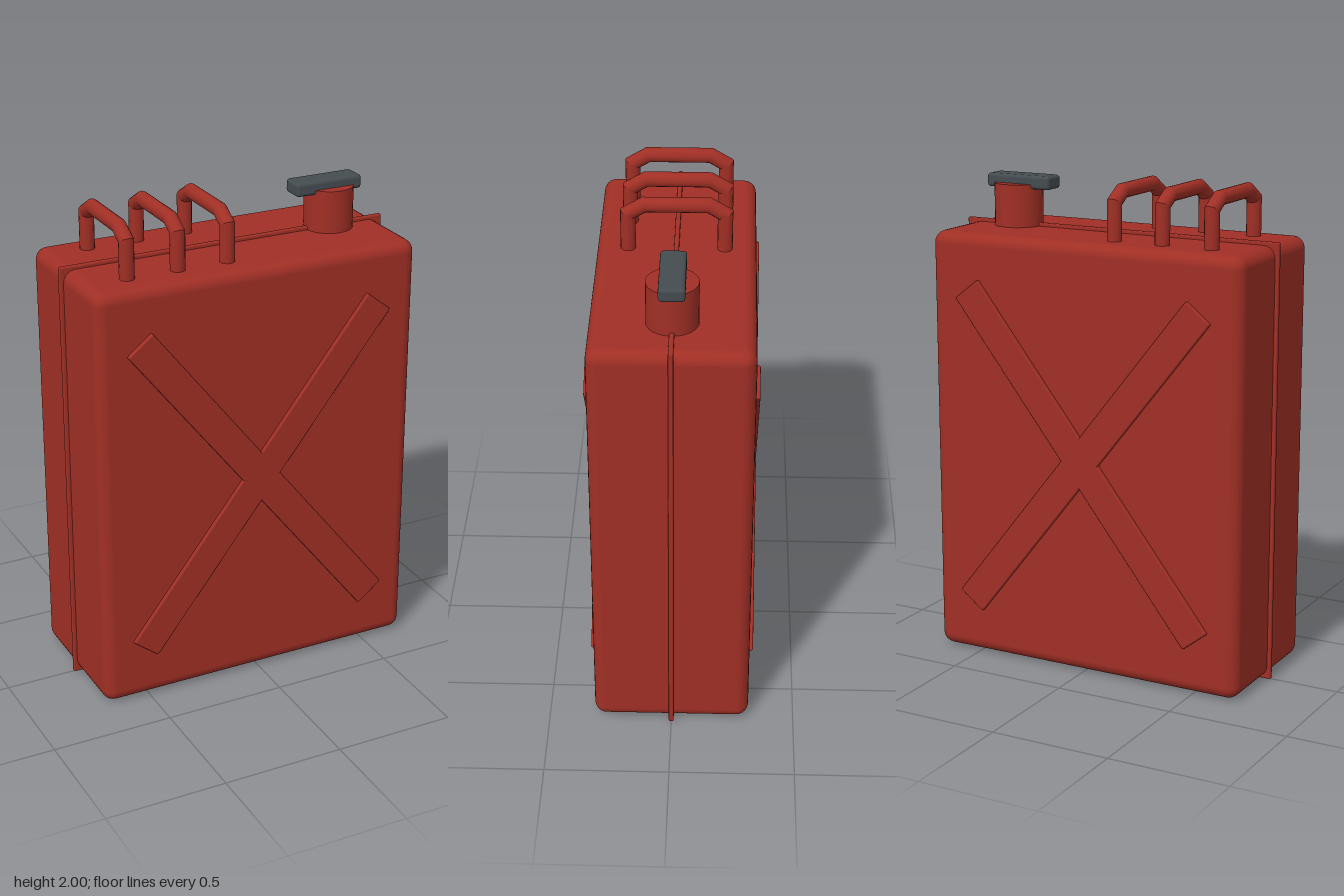
import * as THREE from 'three';
import { toCreasedNormals } from 'three/addons/utils/BufferGeometryUtils.js';
import { RoundedBoxGeometry } from 'three/addons/geometries/RoundedBoxGeometry.js';

const red = new THREE.MeshStandardMaterial({ color: 0xa02f25 });
red.name = 'red paint';
const grey = new THREE.MeshStandardMaterial({ color: 0x444c50 });
grey.name = 'dark grey metal';

function add(parent, name, geometry, material, x, y, z) {
  const mesh = new THREE.Mesh(geometry, material);
  mesh.name = name;
  mesh.position.set(x, y, z);
  parent.add(mesh);
  return mesh;
}

// Bends a cylinder along a (z, y) path, mitring each corner
function bentRod(path, radius) {
  const n = path.length - 1;
  const pts = path.map(([z, y]) => new THREE.Vector2(z, y));
  const side = (i) => {
    const t = pts[i + 1].clone().sub(pts[i]).normalize();
    return new THREE.Vector2(t.y, -t.x);
  };
  const mitres = pts.map((_, i) => {
    const a = side(Math.max(i - 1, 0));
    const b = side(Math.min(i, n - 1));
    const m = a.clone().add(b);
    return m.multiplyScalar(2 / m.lengthSq());
  });
  const geometry = new THREE.CylinderGeometry(radius, radius, n, 16, n, true);
  const pos = geometry.attributes.position;
  for (let v = 0; v < pos.count; v++) {
    const i = Math.round(pos.getY(v) + n / 2);
    const s = pos.getZ(v);
    pos.setY(v, pts[i].y + mitres[i].y * s);
    pos.setZ(v, pts[i].x + mitres[i].x * s);
  }
  return toCreasedNormals(geometry, 0.45);
}

export function createModel() {
  const can = new THREE.Group();
  can.name = 'fuelCan';

  // Tank and the welded seam around its middle
  add(can, 'tank', new RoundedBoxGeometry(1.39, 1.775, 0.63, 3, 0.05), red, 0, 0.893, 0);
  add(can, 'seam', new RoundedBoxGeometry(1.42, 1.795, 0.02, 2, 0.006), red, 0, 0.8975, 0);

  // Raised cross on the front and back
  for (const face of [1, -1]) {
    for (const lean of [1, -1]) {
      const bar = add(can, face > 0 ? 'frontCrossBar' : 'backCrossBar',
        new RoundedBoxGeometry(1.684, 0.131, 0.04, 2, 0.006), red, 0, 0.895, face * 0.311);
      bar.rotation.z = lean * Math.atan2(0.662, 0.52);
    }
  }

  // Three carrying handles
  const path = [[0.19, 1.74], [0.19, 1.932], [0.127, 1.97],
    [-0.127, 1.97], [-0.19, 1.932], [-0.19, 1.74]];
  const handleGeometry = bentRod(path, 0.03);
  for (const x of [-0.51, -0.298, -0.087]) {
    add(can, 'handle', handleGeometry, red, x, 0, 0);
  }

  // Spout neck and cap lever
  add(can, 'neck', new THREE.CylinderGeometry(0.1, 0.1, 0.21, 32), red, 0.465, 1.85, 0);
  add(can, 'capLever', new RoundedBoxGeometry(0.294, 0.056, 0.1, 2, 0.014), grey, 0.442, 1.963, 0);

  return can;
}
